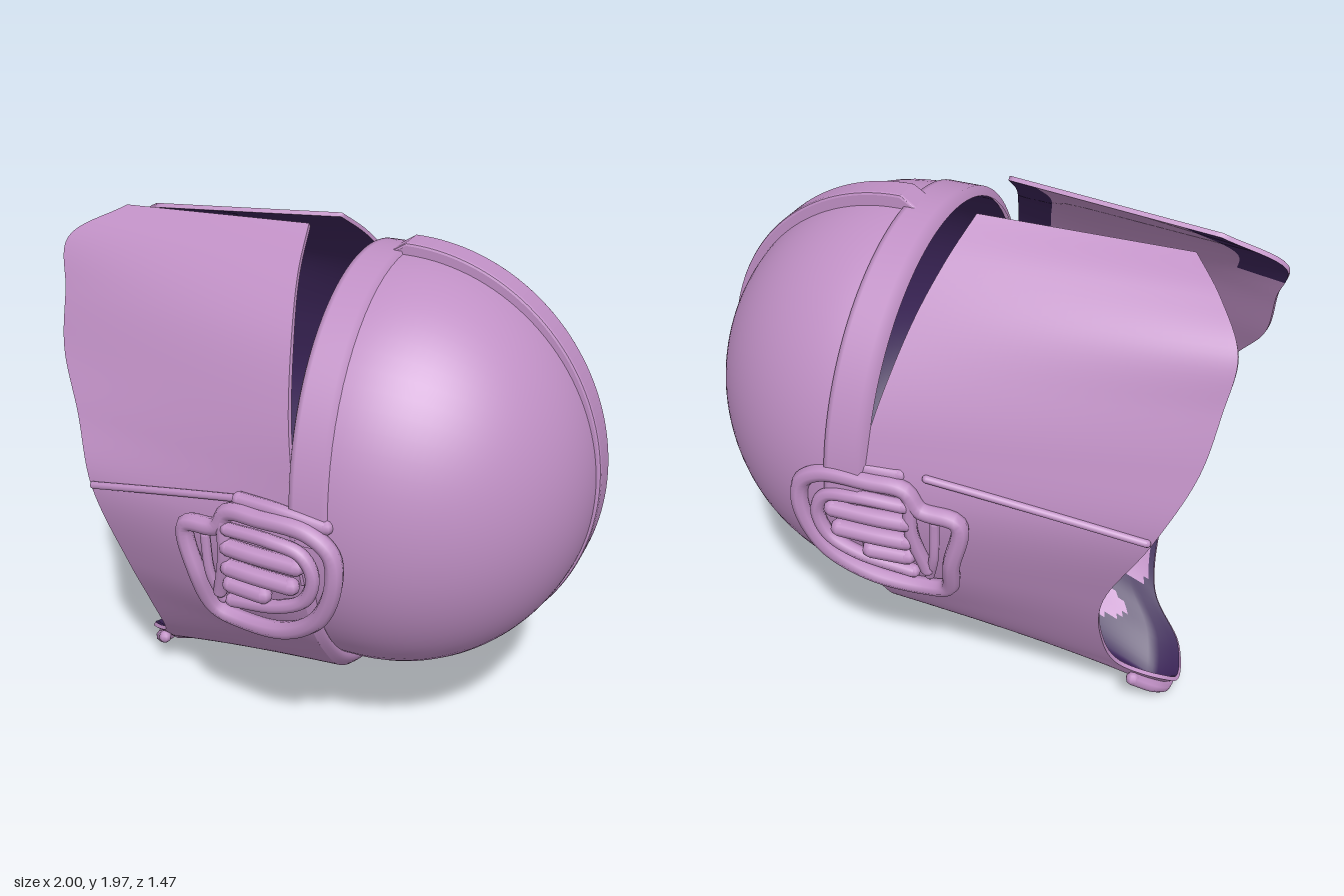
import * as THREE from 'three';

const V = (x, y, z) => new THREE.Vector3(x, y, z);
const outerMat = new THREE.MeshStandardMaterial({ color: 0xc090c5 });
outerMat.name = 'mauve';
const innerMat = new THREE.MeshStandardMaterial({ color: 0x3c2559 });
innerMat.name = 'darkPurple';

function indexed(pos, idx) {
  const g = new THREE.BufferGeometry();
  g.setAttribute('position', new THREE.Float32BufferAttribute(pos, 3));
  g.setIndex(idx);
  g.computeVertexNormals();
  return g;
}

// Surface from fn(u, v); it faces along dU x dV
function grid(fn, nu, nv) {
  const pos = [], idx = [];
  for (let i = 0; i <= nu; i++)
    for (let j = 0; j <= nv; j++) pos.push(...fn(i / nu, j / nv).toArray());
  for (let i = 0; i < nu; i++)
    for (let j = 0; j < nv; j++) {
      const a = i * (nv + 1) + j, b = a + nv + 1;
      idx.push(a, b, a + 1, b, b + 1, a + 1);
    }
  return indexed(pos, idx);
}

function mesh(name, geo, mat = outerMat) {
  const m = new THREE.Mesh(geo, mat);
  m.name = name;
  return m;
}

// Thin wall: outer skin, dark lining (mauve where isFaced) and the edge between them
function shell(name, fn, nu, nv, thick, isFaced = () => false) {
  const outer = grid(fn, nu, nv);
  const p = outer.attributes.position, n = outer.attributes.normal;
  const P = [], Q = [];
  for (let i = 0; i < p.count; i++) {
    const a = V().fromBufferAttribute(p, i);
    P.push(a);
    Q.push(V().fromBufferAttribute(n, i).multiplyScalar(-thick).add(a));
  }
  const dark = [], faced = [];
  for (let c = 0; c < nu * nv; c++) {
    const cell = Array.from(outer.index.array.slice(6 * c, 6 * c + 6)).reverse();
    (isFaced(Math.floor(c / nv) / nu, (c % nv) / nv) ? faced : dark).push(...cell);
  }
  const innerPos = Q.flatMap(q => q.toArray());
  const loop = [], at = (i, j) => i * (nv + 1) + j;
  for (let i = 0; i < nu; i++) loop.push(at(i, 0));
  for (let j = 0; j < nv; j++) loop.push(at(nu, j));
  for (let i = nu; i > 0; i--) loop.push(at(i, nv));
  for (let j = nv; j > 0; j--) loop.push(at(0, j));
  const pos = [], idx = [], L = loop.length;
  loop.forEach((k, i) => {
    pos.push(...P[k].toArray(), ...Q[k].toArray());
    const a = 2 * i, b = 2 * ((i + 1) % L);
    idx.push(a, a + 1, b, b, a + 1, b + 1);
  });
  const g = new THREE.Group();
  g.name = name;
  g.add(mesh(name + 'Outside', outer), mesh(name + 'Edge', indexed(pos, idx)));
  g.add(mesh(name + 'Lining', indexed(innerPos, dark), innerMat));
  if (faced.length) g.add(mesh(name + 'Facing', indexed(innerPos, faced)));
  return g;
}

function tube(name, pts, r, closed = false) {
  const g = new THREE.Group();
  g.name = name;
  const curve = new THREE.CatmullRomCurve3(pts, closed, 'centripetal');
  g.add(mesh(name + 'Bead', new THREE.TubeGeometry(curve, pts.length * 8, r, 8, closed)));
  if (!closed) for (const e of [pts[0], pts[pts.length - 1]]) {
    const cap = mesh(name + 'End', new THREE.SphereGeometry(r, 8, 6));
    cap.position.copy(e);
    g.add(cap);
  }
  return g;
}

// Wrap: open end and dome end, both from front flap over the keel to back flap
const toCurve = pts => new THREE.CatmullRomCurve3(pts.map(q => V(...q)), false, 'centripetal');
const openEnd = toCurve([
  [-0.8, 1.94, 0.03], [-1, 1.82, 0.13], [-0.965, 1.66, 0.22], [-0.93, 1.47, 0.31], [-0.81, 1.28, 0.43],
  [-0.71, 1.06, 0.53], [-0.62, 0.73, 0.47], [-0.61, 0.5, 0.36], [-0.65, 0.25, 0.2], [-0.8, 0.14, 0.06],
  [-0.84, 0.08, -0.06],
  [-0.8, 0.14, -0.15], [-0.65, 0.25, -0.25], [-0.61, 0.5, -0.38], [-0.64, 0.75, -0.47], [-0.81, 1.1, -0.53],
  [-0.92, 1.36, -0.47], [-0.955, 1.56, -0.41], [-0.97, 1.74, -0.35], [-0.87, 1.85, -0.22], [-0.75, 1.92, -0.09]]);
const domeEnd = toCurve([
  [-0.05, 1.98, 0.08], [-0.01, 1.87, 0.25], [0.06, 1.71, 0.45], [0.11, 1.5, 0.58], [0.15, 1.32, 0.645],
  [0.18, 1.08, 0.68], [0.2, 0.75, 0.61], [0.2, 0.55, 0.48], [0.19, 0.42, 0.35], [0.18, 0.33, 0.18],
  [0.15, 0.28, -0.04],
  [0.18, 0.33, -0.24], [0.19, 0.43, -0.41], [0.2, 0.56, -0.51], [0.2, 0.76, -0.62], [0.18, 1.08, -0.695],
  [0.14, 1.32, -0.655], [0.1, 1.5, -0.58], [0.05, 1.7, -0.45], [0, 1.85, -0.31], [-0.04, 1.95, -0.17]]);
function wrapPoint(u, v) {
  const p = openEnd.getPoint(u).lerp(domeEnd.getPoint(u), v);
  // Keel sags behind its tip
  p.y -= 0.1 * Math.max(0, 1 - Math.abs(u - 0.5) / 0.1) * Math.min(1, v / 0.11) * (1 - v) ** 2;
  return p;
}

// Mauve areas of the lining: inside of the front flap and two patches low in the wrap
function wrapFacing(u, v) {
  const nearDome = v > 0.85 && u < 0.25, nearCorner = u < 0.07 && v < 0.15;
  const flap = u < 0.3 + 0.05 * v && !nearDome && !nearCorner;
  const patch = (cu, cv, ru, rv) => ((u - cu) / ru) ** 2 + ((v - cv) / rv) ** 2 < 1;
  return flap || patch(0.375, 0.1, 0.022, 0.1) || patch(0.435, 0.36, 0.022, 0.15);
}

// Dome: short collar running into a half ellipsoid along +x
const CX = 0.27, CY = 1.13, CZ = -0.015;
function domePoint(u, v) {
  const t = u * Math.PI * 2, c = Math.cos(t), s = Math.sin(t);
  const start = 0.165 - 0.04 * c;
  const collar = 0.12, f = Math.max(0, (v - collar) / (1 - collar)) * Math.PI / 2;
  const x = v < collar ? start + (CX - start) * v / collar : CX + 0.715 * Math.sin(f);
  return V(x, CY + 0.76 * Math.cos(f) * c, CZ + 0.685 * Math.cos(f) * s);
}

// Raised band round the upper rim
function bandPoint(u, v) {
  const t = (u - 0.5) * Math.PI * 1.02;
  const h = 0.034 * Math.min(1, 4 * Math.sin(Math.PI * v)) - 0.022;
  return V(0.11 + 0.03 * (1 - Math.cos(t)) + 0.16 * v, CY + (0.758 + h) * Math.cos(t), CZ + (0.682 + h) * Math.sin(t));
}

// Chin: shelf closing the lower wrap against the dome
function chinPoint(u, v) {
  const a = domeEnd.getPoint(0.27 + 0.46 * u);
  const t = Math.atan2((a.z - CZ) / 0.685, (a.y - CY) / 0.76);
  const p = a.lerp(V(0.22, CY + 0.75 * Math.cos(t), CZ + 0.676 * Math.sin(t)), v);
  p.x += 0.02 * Math.sin(Math.PI * v);
  return p;
}

// Crest: bevelled strip over the middle of the dome
function crest() {
  const s = new THREE.Shape();
  s.moveTo(0.16, 1.92);
  s.absellipse(CX, CY + 0.012, 0.72, 0.773, Math.PI / 2, -Math.PI / 2, true);
  s.lineTo(CX, CY - 0.71);
  s.absellipse(CX, CY, 0.67, 0.71, -Math.PI / 2, Math.PI / 2, false);
  s.lineTo(0.16, 1.85);
  const g = new THREE.ExtrudeGeometry(s, { depth: 0.09, curveSegments: 40, bevelThickness: 0.01, bevelSize: 0.01, bevelSegments: 2 });
  g.translate(0, 0.005, -0.1);
  return mesh('crest', g);
}

// Side clasp: domed pad, framed by beads with bars inside
function clasp(side) {
  const g = new THREE.Group();
  g.name = side > 0 ? 'frontClasp' : 'backClasp';
  const dx = side > 0 ? 0 : 0.07;
  const on = (x, y, lift = 0.025) => V(x + dx, y,
    side * (0.67 + 0.13 * Math.min(x - 0.1, 0) - 0.9 * Math.max(0, 1 - y) ** 2 + lift));
  const outline = [[-0.25, 1.07], [-0.22, 0.88], [-0.18, 0.72], [-0.09, 0.69], [0.1, 0.72], [0.25, 0.83],
    [0.32, 1], [0.31, 1.11], [0.23, 1.17], [0.05, 1.18], [-0.07, 1.17], [-0.12, 1.1]];
  const ring = new THREE.CatmullRomCurve3(outline.map(([x, y]) => V(x, y, 0)), true, 'centripetal');
  g.add(mesh('claspPad', grid((u, v) => {
    const q = ring.getPoint(side > 0 ? 1 - u : u);
    const r = 1 - Math.max(0, v - 0.05) / 0.95;
    const p = on(0.05 + (q.x - 0.05) * r, 0.94 + (q.y - 0.94) * r, 0.03);
    if (v === 0) p.z -= side * 0.08;
    return p;
  }, 48, 20)));
  g.add(tube('claspFrame', outline.map(([x, y]) => on(x, y)), 0.032, true));
  const line = (name, pts, r, lift) => g.add(tube(name, pts.map(([x, y]) => on(x, y, lift)), r));
  line('claspHook', [[-0.07, 1.11], [0.1, 1.115], [0.21, 1.09], [0.25, 1.02], [0.22, 0.92], [0.12, 0.86], [-0.08, 0.81]], 0.025, 0.036);
  for (const [y, end] of [[1.04, 0.19], [0.96, 0.17], [0.89, 0.06]])
    line('claspBar', [[-0.07, y], [0.02, y], [end, y]], 0.032, 0.034);
  line('claspPost', [[-0.09, 1.14], [-0.09, 1], [-0.13, 0.83]], 0.025, 0.03);
  line('claspInnerEdge', [[-0.17, 1.05], [-0.16, 0.9], [-0.13, 0.79]], 0.018, 0.025);
  line('claspStrap', [[-0.04, 1.21], [0.12, 1.21], [0.28, 1.19]], 0.027, -0.005);
  return g;
}

export function createModel() {
  const model = new THREE.Group();
  model.name = 'splitShell';
  model.add(shell('wrap', wrapPoint, 160, 36, 0.016, wrapFacing));
  model.add(shell('dome', domePoint, 72, 40, 0.02));
  model.add(mesh('rimBand', grid(bandPoint, 72, 10)));
  model.add(mesh('chin', grid(chinPoint, 60, 6)));
  model.add(crest());
  for (const side of [1, -1]) {
    model.add(clasp(side));
    // Seam bead along each flap
    const seam = [0.02, 0.2, 0.4, 0.6, 0.78].map(v => {
      const u = 0.25 - 0.034 * v;
      const p = wrapPoint(side > 0 ? u : 1 - u, v);
      return V(p.x, p.y, p.z + side * 0.004);
    });
    model.add(tube('seam', seam, 0.014));
  }
  // Rolled lip under the bottom tip
  const lip = [0.43, 0.465, 0.5, 0.535, 0.57].map(u => {
    const p = wrapPoint(u, 0.05);
    return V(p.x, p.y - 0.014, p.z + Math.sign(0.5 - u) * 0.014);
  });
  model.add(tube('tipLip', lip, 0.026));
  return model;
}
